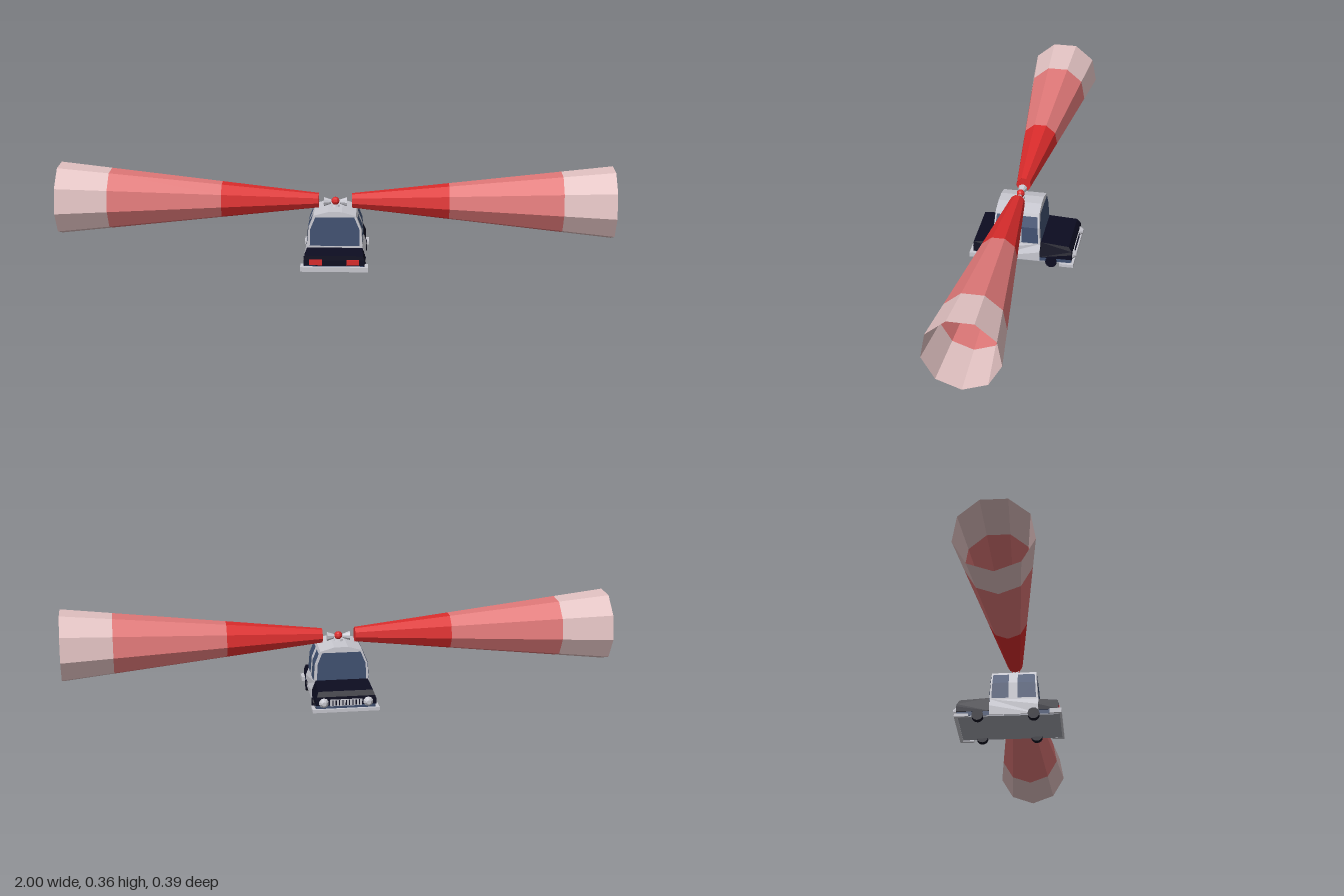
import * as THREE from 'three';

const mat = (name, color, side = THREE.FrontSide) => {
  const m = new THREE.MeshStandardMaterial({ color, side, flatShading: true });
  m.name = name;
  return m;
};

export function createModel() {
  const car = new THREE.Group();
  car.name = 'patrolCar';
  const M = {
    grey: mat('bodyGrey', 0xc8c8d0),
    navy: mat('navy', 0x0c0c20),
    blue: mat('glassBlue', 0x405070, THREE.DoubleSide),
    under: mat('undersideGrey', 0xa0a2ac),
    red: mat('lampRed', 0xdb2c2c, THREE.DoubleSide),
    rose: mat('beamRose', 0xe07878, THREE.DoubleSide),
    pale: mat('beamPale', 0xe2c2c2, THREE.DoubleSide),
  };
  const add = (name, geo, m, x = 0, y = 0, z = 0) => {
    const mesh = new THREE.Mesh(geo, m);
    mesh.name = name;
    mesh.position.set(x, y, z);
    car.add(mesh);
    return mesh;
  };
  const box = (name, m, w, h, d, x, y, z) => add(name, new THREE.BoxGeometry(w, h, d), m, x, y, z);

  // side profile of [z, y] points drawn across the width, narrowing above the waist
  const hull = (name, m, pts, half) => {
    const g = new THREE.ExtrudeGeometry(new THREE.Shape(pts.map(p => new THREE.Vector2(...p))),
      { depth: 2 * half, bevelEnabled: false });
    g.translate(0, 0, -half).rotateY(-Math.PI / 2);
    const p = g.attributes.position;
    for (let i = 0; i < p.count; i++) p.setX(i, p.getX(i) * (1 - 3.5 * Math.max(0, p.getY(i) - 0.057)));
    g.computeVertexNormals();
    return add(name, g, m);
  };
  // flat convex panel
  const panel = (name, m, pts) => {
    const g = new THREE.BufferGeometry().setFromPoints(pts.map(p => new THREE.Vector3(...p)));
    const idx = [];
    for (let i = 1; i < pts.length - 1; i++) idx.push(0, i, i + 1);
    g.setIndex(idx);
    g.computeVertexNormals();
    return add(name, g, m);
  };

  // lower body
  hull('midBody', M.grey, [[0.112, 0.02], [0.112, 0.057], [0.112, 0.086], [-0.063, 0.086], [-0.063, 0.057], [-0.063, 0.02]], 0.11);
  hull('trunk', M.navy, [[0.183, 0.036], [0.183, 0.057], [0.182, 0.073], [0.112, 0.081], [0.112, 0.057], [0.112, 0.036]], 0.109);
  hull('hood', M.navy, [[-0.063, 0.036], [-0.063, 0.057], [-0.065, 0.092], [-0.168, 0.085], [-0.18, 0.068], [-0.181, 0.057], [-0.181, 0.036]], 0.109);
  box('rearSill', M.blue, 0.212, 0.019, 0.065, 0, 0.03, 0.145);
  box('frontSill', M.blue, 0.212, 0.019, 0.116, 0, 0.03, -0.121);
  box('floor', M.under, 0.212, 0.004, 0.372, 0, 0.018, 0.002);

  // cabin, lofted upward through [height, half width]
  const levels = [[0.083, 0.1], [0.15, 0.095], [0.198, 0.076], [0.212, 0.025]];
  const zr = y => 0.111 - (y - 0.083) * 0.06;
  const zf = y => -0.063 + (y - 0.083) * 0.06;
  const ring = levels.map(([y, h]) => [[-h, y, zr(y)], [h, y, zr(y)], [h, y, zf(y)], [-h, y, zf(y)]]);
  const verts = [];
  const quad = (a, b, c, d) => verts.push(...a, ...b, ...c, ...a, ...c, ...d);
  for (let l = 0; l < 3; l++)
    for (let k = 0; k < 4; k++) {
      const n = (k + 1) % 4;
      quad(ring[l][k], ring[l][n], ring[l + 1][n], ring[l + 1][k]);
    }
  quad(...ring[3]);
  const cabin = new THREE.BufferGeometry();
  cabin.setAttribute('position', new THREE.Float32BufferAttribute(verts, 3));
  cabin.computeVertexNormals();
  add('cabin', cabin, M.grey);

  // windscreen and rear window
  const outline = [[-0.09, 0.088], [0.09, 0.088], [0.088, 0.15], [0.07, 0.193], [-0.07, 0.193], [-0.088, 0.15]];
  panel('rearWindow', M.blue, outline.map(([x, y]) => [x, y, zr(y) + 0.002]));
  panel('windscreen', M.blue, outline.map(([x, y]) => [-x, y, zf(y) - 0.002]));

  // side windows follow the two side slopes
  const hx = y => (y < 0.15 ? 0.1 - (y - 0.083) * 0.075 : 0.095 - (y - 0.15) * 0.396) + 0.002;
  for (const s of [-1, 1])
    for (const [a, b] of [[0.104, 0.038], [0.006, -0.056]])
      for (const [y0, y1] of [[0.088, 0.15], [0.15, 0.188]]) {
        const at = (y, z) => [s * hx(y), y, Math.max(zf(y) + 0.006, Math.min(zr(y) - 0.006, z))];
        const pts = [at(y0, a), at(y0, b), at(y1, b), at(y1, a)];
        panel('sideWindow', M.blue, s > 0 ? pts : pts.reverse());
      }

  // bumpers wrap round the corners
  box('rearBumper', M.grey, 0.242, 0.017, 0.012, 0, 0.0255, 0.189);
  box('frontBumper', M.grey, 0.242, 0.012, 0.012, 0, 0.018, -0.182);
  for (const s of [-1, 1]) {
    box('rearBumperSide', M.grey, 0.012, 0.017, 0.043, s * 0.115, 0.0255, 0.1735);
    box('frontBumperSide', M.grey, 0.012, 0.011, 0.05, s * 0.115, 0.0175, -0.162);

    // wheels
    for (const z of [0.095, -0.105])
      add('wheel', new THREE.CylinderGeometry(0.021, 0.021, 0.022, 16).rotateZ(Math.PI / 2), M.navy, s * 0.102, 0.021, z);

    // lamps
    box('tailLamp', M.red, 0.045, 0.02, 0.006, s * 0.066, 0.049, 0.183);
    add('headlamp', new THREE.CylinderGeometry(0.008, 0.018, 0.014, 10).rotateX(-Math.PI / 2), M.grey, s * 0.08, 0.046, -0.188);

    // roof lamp reflectors flare outward
    add('reflector', new THREE.CylinderGeometry(0.008, 0.017, 0.026, 9).rotateZ(s * Math.PI / 2), M.grey, s * 0.029, 0.229, 0.027);

    // light beam: three coloured bands of a nine-sided cone
    const r = x => 0.027 + (x - 0.06) * 0.1122;
    for (const [x0, x1, m] of [[0.06, 0.41, M.red], [0.41, 0.815, M.rose], [0.815, 1, M.pale]]) {
      const g = new THREE.CylinderGeometry(r(x1), r(x0), x1 - x0, 9, 1, true);
      g.rotateY(s * Math.PI / 2).rotateZ(-s * Math.PI / 2);
      add('lightBeam', g, m, s * (x0 + x1) / 2, 0.2335, 0.027);
    }
    add('beamCap', new THREE.CircleGeometry(0.027, 9, Math.PI / 2).rotateY(Math.PI / 2), M.red, s * 0.06, 0.2335, 0.027);
  }

  // grille with upright bars
  box('grille', M.grey, 0.115, 0.024, 0.004, 0, 0.046, -0.182);
  for (let i = -4; i <= 4; i++) box('grilleBar', M.navy, 0.004, 0.02, 0.004, i * 0.012, 0.046, -0.183);

  // roof lamp
  add('lampBase', new THREE.CylinderGeometry(0.014, 0.018, 0.01, 9), M.grey, 0, 0.214, 0.027);
  add('roofLamp', new THREE.SphereGeometry(0.015, 9, 6), M.red, 0, 0.232, 0.027);
  return car;
}
